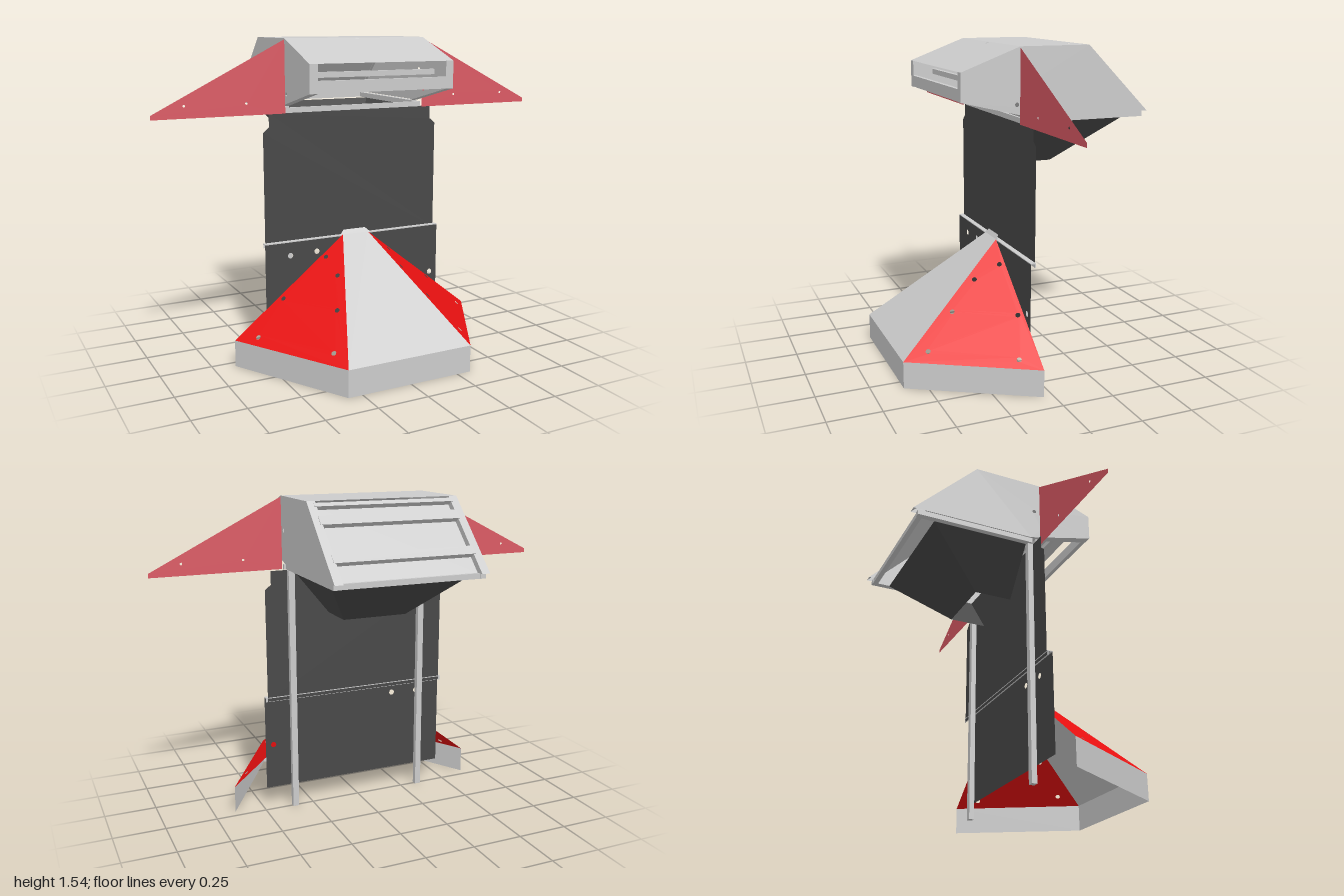
import * as THREE from 'three';

const mat = (color) => new THREE.MeshStandardMaterial({ color, side: THREE.DoubleSide });
const GREY = mat(0xcccccc), DARK = mat(0x484848), RED = mat(0xe81010), PINK = mat(0xdb5a64);
const V = (p) => new THREE.Vector3(...p);

export function createModel() {
  const model = new THREE.Group();

  const add = (name, geometry, material) => {
    const mesh = new THREE.Mesh(geometry, material);
    mesh.name = name;
    model.add(mesh);
    return mesh;
  };

  // Flat sheet through 3D corners, with small round holes at 3D points
  const sheet = (name, corners, material = GREY, holes = [], radius = 0.012) => {
    const pts = corners.map(V), o = pts[0];
    const u = pts[1].clone().sub(o).normalize();
    const n = u.clone().cross(pts[2].clone().sub(o)).normalize();
    const w = n.clone().cross(u);
    const flat = (p) => {
      const d = p.clone().sub(o);
      return new THREE.Vector2(d.dot(u), d.dot(w));
    };
    const shape = new THREE.Shape(pts.map(flat));
    for (const h of holes) {
      const c = flat(V(h));
      shape.holes.push(new THREE.Path().absarc(c.x, c.y, radius, 0, Math.PI * 2, true));
    }
    const geometry = new THREE.ShapeGeometry(shape, 5);
    geometry.applyMatrix4(new THREE.Matrix4().makeBasis(u, w, n).setPosition(o));
    return add(name, geometry, material);
  };

  const box = (name, w, h, d, x, y, z, material = GREY) => {
    const mesh = add(name, new THREE.BoxGeometry(w, h, d), material);
    mesh.position.set(x, y, z);
    return mesh;
  };

  // Base skirt: front wall and sloping front cover
  const apexY = 0.585, backZ = 0.045;
  sheet('skirtFrontWall', [[-0.32, 0, 0.605], [0.32, 0, 0.605], [0.32, 0.13, 0.605], [-0.32, 0.13, 0.605]]);
  sheet('frontCover', [[-0.32, 0.13, 0.605], [0.32, 0.13, 0.605], [0.07, apexY, backZ], [-0.07, apexY, backZ]]);
  sheet('frontCoverTab', [[-0.085, 0.582, backZ], [0.085, 0.582, backZ], [0.06, 0.605, 0.03], [-0.06, 0.605, 0.03]]);

  for (const s of [-1, 1]) {
    // Skirt side walls and red side covers
    sheet('skirtSideWall', [[s * 0.32, 0, 0.605], [s * 0.645, 0, backZ], [s * 0.645, 0.13, backZ], [s * 0.32, 0.13, 0.605]]);
    const coverX = (z, y) => 0.645 - 0.325 * (z - backZ) / 0.56 - 0.575 * (y - 0.13) / 0.455;
    const holes = [[0.49, 0.17], [0.34, 0.31], [0.2, 0.43], [0.07, 0.49], [0.07, 0.31], [0.13, 0.16]];
    sheet('sideCover', [[s * 0.32, 0.13, 0.605], [s * 0.645, 0.13, backZ], [s * 0.07, apexY, backZ]], RED,
      holes.map(([z, y]) => [s * coverX(z, y), y, z]));

    // Posts
    box('post', 0.03, 1.2, 0.026, s * 0.345, 0.6, 0);

    // Hood side plates
    const x = s * 0.37;
    sheet('hoodSide', [[x, 1.23, 0], [x, 1.23, -0.605], [x, 1.545, -0.29], [x, 1.545, 0.05], [x, 1.44, 0.33], [x, 1.31, 0.33]],
      GREY, [[x, 1.385, 0.02], [x, 1.29, 0.065]], 0.01);

    // Flange down the sloping rear edge, and the front edge flange
    sheet('hoodRearFlange', [[x, 1.23, -0.605], [x, 1.545, -0.29], [s * 0.33, 1.545, -0.29], [s * 0.33, 1.23, -0.605]]);
    sheet('hoodRearFlangeReturn', [[s * 0.33, 1.23, -0.605], [s * 0.33, 1.545, -0.29], [s * 0.33, 1.52, -0.27], [s * 0.33, 1.23, -0.56]]);
    sheet('hoodFrontFlange', [[x, 1.31, 0.33], [x, 1.44, 0.33], [s * 0.33, 1.44, 0.33], [s * 0.33, 1.31, 0.33]]);
    sheet('hoodLowerFlange', [[x, 1.31, 0.33], [x, 1.23, 0], [s * 0.33, 1.23, 0], [s * 0.33, 1.31, 0.33]]);

    // Frame rail under each hood side
    box('hoodRail', 0.03, 0.025, 0.59, s * 0.35, 1.217, -0.285);

    // Side wing
    sheet('wing', [[s * 0.37, 1.2, 0.05], [s, 1.2, 0.05], [s, 1.22, 0.05], [s * 0.37, 1.54, 0.05]], PINK,
      [[s * 0.56, 1.255, 0.05], [s * 0.85, 1.255, 0.05]], 0.006);

    // Tapering hopper side
    sheet('hopperSideFront', [[s * 0.34, 1.205, -0.015], [s * 0.34, 1.205, -0.49], [s * 0.16, 0.985, -0.2], [s * 0.16, 0.985, -0.015]], DARK);
  }

  // Hopper rear slope and front wall
  sheet('hopperRear', [[-0.34, 1.205, -0.49], [0.34, 1.205, -0.49], [0.16, 0.985, -0.2], [-0.16, 0.985, -0.2]], DARK);
  sheet('hopperFront', [[-0.34, 1.205, -0.015], [0.34, 1.205, -0.015], [0.16, 0.985, -0.015], [-0.16, 0.985, -0.015]], DARK);

  // Back panels: chamfered upper sheet and lower sheet with a folded top edge
  const upper = [[0.47, 0.56], [0.47, 1.11], [0.44, 1.135], [0.44, 1.2]];
  sheet('upperPanel', [...upper.map(([x, y]) => [x, y, 0.016]),
    ...upper.reverse().map(([x, y]) => [-x, y, 0.016])], DARK);
  sheet('lowerPanel', [[-0.48, 0.1, 0.04], [0.48, 0.1, 0.04], [0.48, 0.58, 0.04], [-0.48, 0.58, 0.04]], DARK,
    [[-0.35, 0.51, 0.04], [-0.21, 0.515, 0.04], [0.44, 0.325, 0.04]], 0.014);
  box('lowerPanelFold', 0.96, 0.004, 0.026, 0, 0.578, 0.028);
  box('lowerPanelLip', 0.96, 0.02, 0.003, 0, 0.568, 0.018);

  // Hood roof: flat top and front slope
  sheet('hoodTop', [[-0.37, 1.545, 0.05], [0.37, 1.545, 0.05], [0.37, 1.545, -0.29], [-0.37, 1.545, -0.29]],
    GREY, [[0.24, 1.545, -0.25]], 0.008);
  sheet('hoodFrontSlope', [[-0.37, 1.44, 0.33], [0.37, 1.44, 0.33], [0.37, 1.545, 0.05], [-0.37, 1.545, 0.05]],
    GREY, [[0, 1.541, 0.06]], 0.01);

  // Front opening bar, inner shelf and sill
  box('frontBar', 0.74, 0.055, 0.02, 0, 1.338, 0.318);
  box('innerBar', 0.66, 0.025, 0.02, 0, 1.385, 0.22);
  box('frontSill', 0.74, 0.025, 0.012, 0, 1.213, 0.03);
  box('rearRail', 0.68, 0.025, 0.025, 0, 1.217, -0.565);

  // Recessed rear panel and its cross bars, laid along the 45 degree slope
  sheet('rearPanel', [[-0.33, 1.23, -0.565], [0.33, 1.23, -0.565], [0.33, 1.52, -0.275], [-0.33, 1.52, -0.275]]);
  for (const [z, width] of [[-0.51, 0.045], [-0.365, 0.05], [-0.305, 0.02]]) {
    const bar = box('rearCrossBar', 0.68, width, 0.025, 0, 1.827 + z, z + 0.006);
    bar.rotation.x = Math.PI / 4;
  }

  return model;
}
